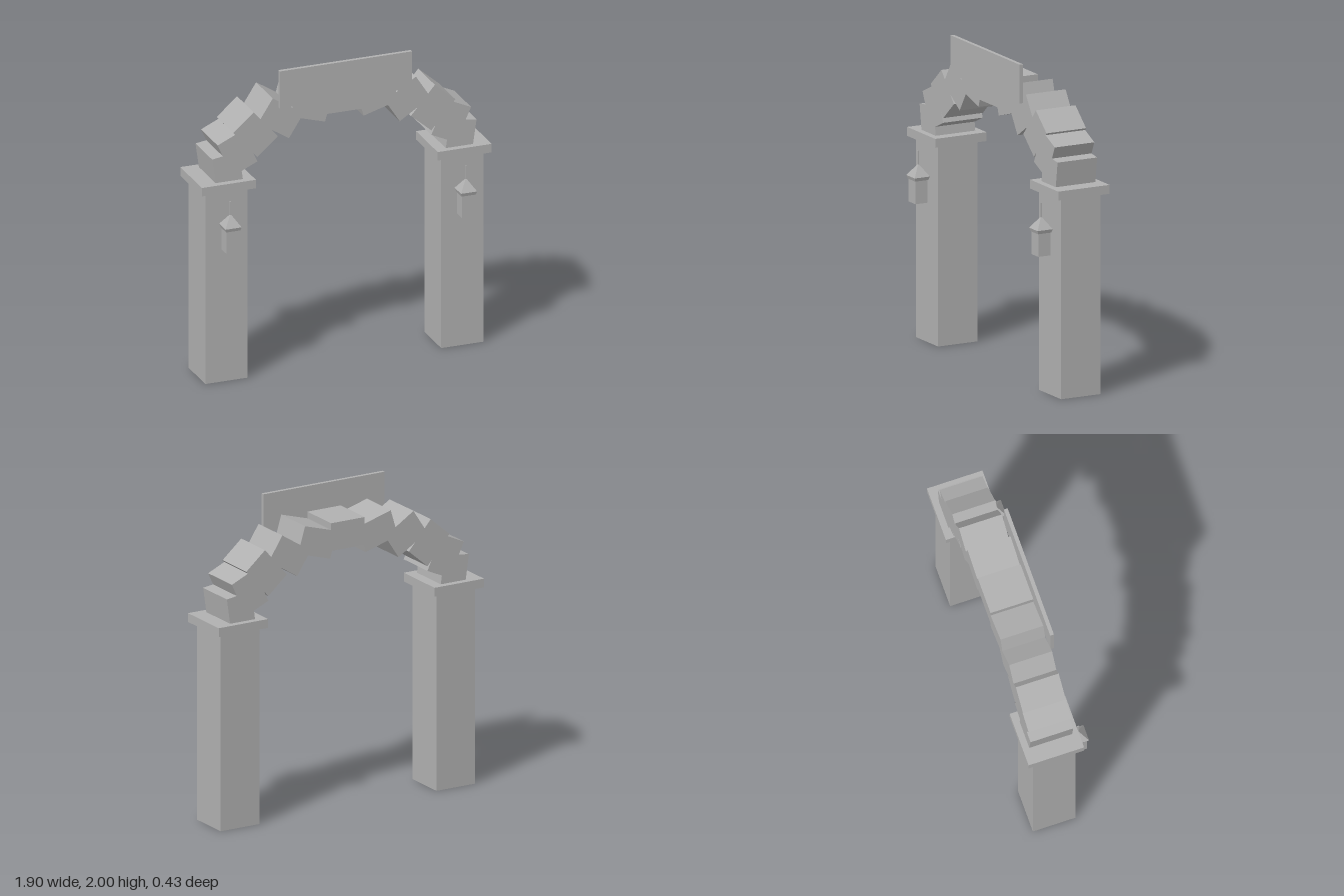
import * as THREE from 'three';

export function createModel() {
  const model = new THREE.Group();
  model.name = 'archway';
  const stone = new THREE.MeshStandardMaterial({ color: 0xb0b0b0 });
  stone.name = 'stone grey';

  const DEPTH = 0.276;
  const Z = -0.037;

  function add(parent, name, geometry, x, y, z) {
    const mesh = new THREE.Mesh(geometry, stone);
    mesh.name = name;
    mesh.position.set(x, y, z);
    parent.add(mesh);
    return mesh;
  }
  const box = (w, h, d) => new THREE.BoxGeometry(w, h, d);

  // Square frustum given by half widths, sides facing the axes
  function frustum(top, bottom, height) {
    const g = new THREE.CylinderGeometry(top * Math.SQRT2, bottom * Math.SQRT2, height, 4);
    g.rotateY(Math.PI / 4);
    const flat = g.toNonIndexed();
    flat.computeVertexNormals();
    return flat;
  }

  for (const [side, s] of [['left', 1], ['right', -1]]) {
    // Pillar and its capital
    add(model, side + 'Pillar', box(DEPTH, 1.26, DEPTH), s * 0.773, 0.63, Z);
    add(model, side + 'Capital', box(0.354, 0.056, 0.358), s * 0.773, 1.288, Z);

    // Hanging lantern
    const lantern = new THREE.Group();
    lantern.name = side + 'Lantern';
    lantern.position.set(s * 0.772, 0, 0.164);
    model.add(lantern);
    add(lantern, 'lanternBody', box(0.085, 0.145, 0.085), 0, 0.9575, 0);
    add(lantern, 'lanternEave', frustum(0.053, 0.046, 0.022), 0, 1.039, 0);
    add(lantern, 'lanternRoof', frustum(0.003, 0.053, 0.072), 0, 1.086, 0);
    add(lantern, 'lanternRod', box(0.008, 0.095, 0.008), 0, 1.162, 0);
  }

  // Jagged arch of stones, each turned by its angle along the curve
  const COUNT = 11;
  for (let i = 0; i < COUNT; i++) {
    const a = (Math.PI * (i + 0.5)) / COUNT;
    const block = add(model, 'archStone' + (i + 1), box(0.177, 0.24, DEPTH),
      -0.77 * Math.cos(a), 1.306 + 0.443 * Math.sin(a), Z);
    block.rotation.z = a;
  }

  // Sign board in front of the crown
  add(model, 'signBoard', box(0.866, 0.244, 0.024), 0, 1.878, 0.114);

  return model;
}
